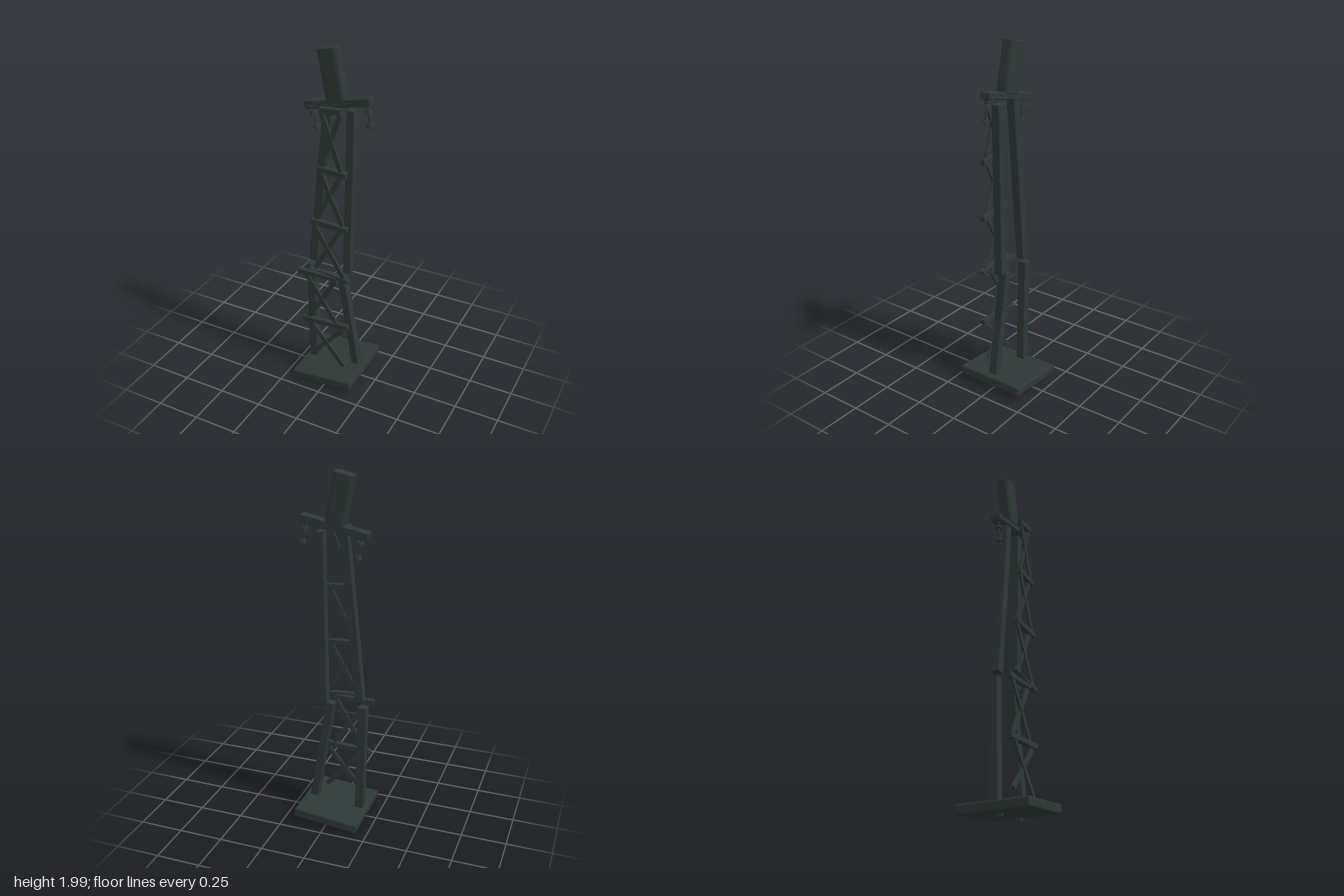
import * as THREE from 'three';
import { RoundedBoxGeometry } from 'three/addons/geometries/RoundedBoxGeometry.js';

export function createModel() {
  const model = new THREE.Group();
  model.name = 'trussTower';
  const iron = new THREE.MeshStandardMaterial({ color: 0x2e3836 });
  iron.name = 'darkIron';
  iron.flatShading = true;

  const add = (name, geo, x, y, z, tilt = 0, parent = model) => {
    const m = new THREE.Mesh(geo, iron);
    m.name = name;
    m.position.set(x, y, z);
    m.rotation.z = tilt;
    parent.add(m);
    return m;
  };

  // Chamfered bar running between two points in the front plane
  const bar = (name, [x1, y1], [x2, y2], z, width, depth, bevel = 0.004) => {
    const len = Math.hypot(x2 - x1, y2 - y1);
    const geo = bevel
      ? new RoundedBoxGeometry(len, width, depth, 1, bevel)
      : new THREE.BoxGeometry(len, width, depth);
    return add(name, geo, (x1 + x2) / 2, (y1 + y2) / 2, z, Math.atan2(y2 - y1, x2 - x1));
  };

  // Flat polygon extruded around a given z
  const plate = (name, pts, z, depth) => {
    const shape = new THREE.Shape(pts.map(([x, y]) => new THREE.Vector2(x, y)));
    const geo = new THREE.ExtrudeGeometry(shape, { depth, bevelEnabled: false });
    geo.translate(0, 0, -depth / 2);
    return add(name, geo, 0, 0, z);
  };

  // Tilted base slab with two bolts underneath
  add('base', new RoundedBoxGeometry(0.375, 0.052, 0.41, 1, 0.009), -0.008, 0.058, 0, 0.1);
  for (const [x, y, r] of [[0.115, 0.03, 0.03], [-0.08, 0.021, 0.02]]) {
    add('baseBolt', new THREE.CylinderGeometry(r, r * 0.8, 0.022, 8), x, y, -0.01, 0.1);
  }

  // Broken legs: lower pair, then upper pair
  bar('lowerLegRight', [-0.15, 0.07], [-0.162, 0.71], 0, 0.05, 0.05);
  bar('lowerLegLeft', [0.125, 0.1], [0.025, 0.71], 0, 0.045, 0.05);
  bar('upperLegRight', [-0.145, 0.74], [-0.047, 1.69], 0, 0.05, 0.05);
  bar('upperLegLeft', [0.067, 0.715], [0.083, 1.68], 0, 0.045, 0.05);

  // Front lattice: crossbars
  const zf = 0.091;
  for (const [a, b] of [
    [[-0.178, 0.383], [0.115, 0.4]],
    [[-0.11, 1.043], [0.105, 1.033]],
    [[-0.07, 1.362], [0.098, 1.353]],
    [[-0.055, 1.685], [0.07, 1.695]],
  ]) bar('crossbar', a, b, zf, 0.032, 0.03);

  // Snapped crossbar at the break
  plate('snappedCrossbarUpper', [[-0.13, 0.742], [0, 0.725], [0.118, 0.703], [0.115, 0.724], [0, 0.737]], zf, 0.03);
  plate('snappedCrossbarLower', [[-0.2, 0.715], [-0.195, 0.685], [0.04, 0.698], [0.05, 0.716]], zf, 0.03);

  // Front lattice: X braces, each bay given by its four corners
  for (const [bl, br, tl, tr] of [
    [[-0.13, 0.13], [0.085, 0.12], [-0.13, 0.375], [0.08, 0.375]],
    [[-0.14, 0.4], [0.045, 0.4], [-0.15, 0.69], [0.03, 0.69]],
    [[-0.095, 0.745], [0.085, 0.725], [-0.1, 1.03], [0.065, 1.03]],
    [[-0.085, 1.055], [0.075, 1.055], [-0.055, 1.345], [0.065, 1.345]],
    [[-0.05, 1.37], [0.065, 1.37], [-0.045, 1.68], [0.06, 1.68]],
  ]) {
    bar('brace', bl, tr, zf - 0.003, 0.025, 0.014, 0);
    bar('brace', br, tl, zf + 0.003, 0.025, 0.014, 0);
  }

  // Tilted head: arm, mast and hangers share one group
  const head = new THREE.Group();
  head.name = 'head';
  head.position.set(0.005, 1.708, 0);
  head.rotation.z = 0.2;
  model.add(head);
  add('arm', new RoundedBoxGeometry(0.38, 0.037, 0.063, 1, 0.005), 0, 0, 0, 0, head);

  // Thin sliver split from the front of the arm
  const sliver = add('splinter', new THREE.BoxGeometry(0.34, 0.02, 0.004), 0, -0.012, 0.037, 0, head);
  sliver.rotation.y = 0.04;

  // Mast with rounded corners, extruded upward
  const w = 0.053, d = 0.033, r = 0.018;
  const section = new THREE.Shape();
  section.moveTo(-w + r, -d);
  section.lineTo(w - r, -d);
  section.quadraticCurveTo(w, -d, w, -d + r);
  section.lineTo(w, d - r);
  section.quadraticCurveTo(w, d, w - r, d);
  section.lineTo(-w + r, d);
  section.quadraticCurveTo(-w, d, -w, d - r);
  section.lineTo(-w, -d + r);
  section.quadraticCurveTo(-w, -d, -w + r, -d);
  const mastGeo = new THREE.ExtrudeGeometry(section, {
    depth: 0.262, curveSegments: 3, bevelThickness: 0.004, bevelSize: 0.003, bevelSegments: 1,
  });
  mastGeo.rotateX(-Math.PI / 2);
  add('mast', mastGeo, -0.001, 0.016, 0, 0, head);

  // Insulator hangers: rod with discs
  for (const [x, y, len] of [[-0.145, 1.67, 0.145], [0.163, 1.725, 0.14]]) {
    const hanger = new THREE.Group();
    hanger.name = 'hanger';
    hanger.position.set(x, y, 0);
    hanger.rotation.z = 0.2;
    model.add(hanger);
    add('rod', new THREE.CylinderGeometry(0.008, 0.008, len, 6), 0, -len / 2, 0, 0, hanger);
    for (const [t, rad] of [[0.28, 0.022], [0.8, 0.022]]) {
      add('disc', new THREE.CylinderGeometry(rad * 0.8, rad, 0.016, 8), 0, -len * t, 0, 0, hanger);
    }
  }
  return model;
}
